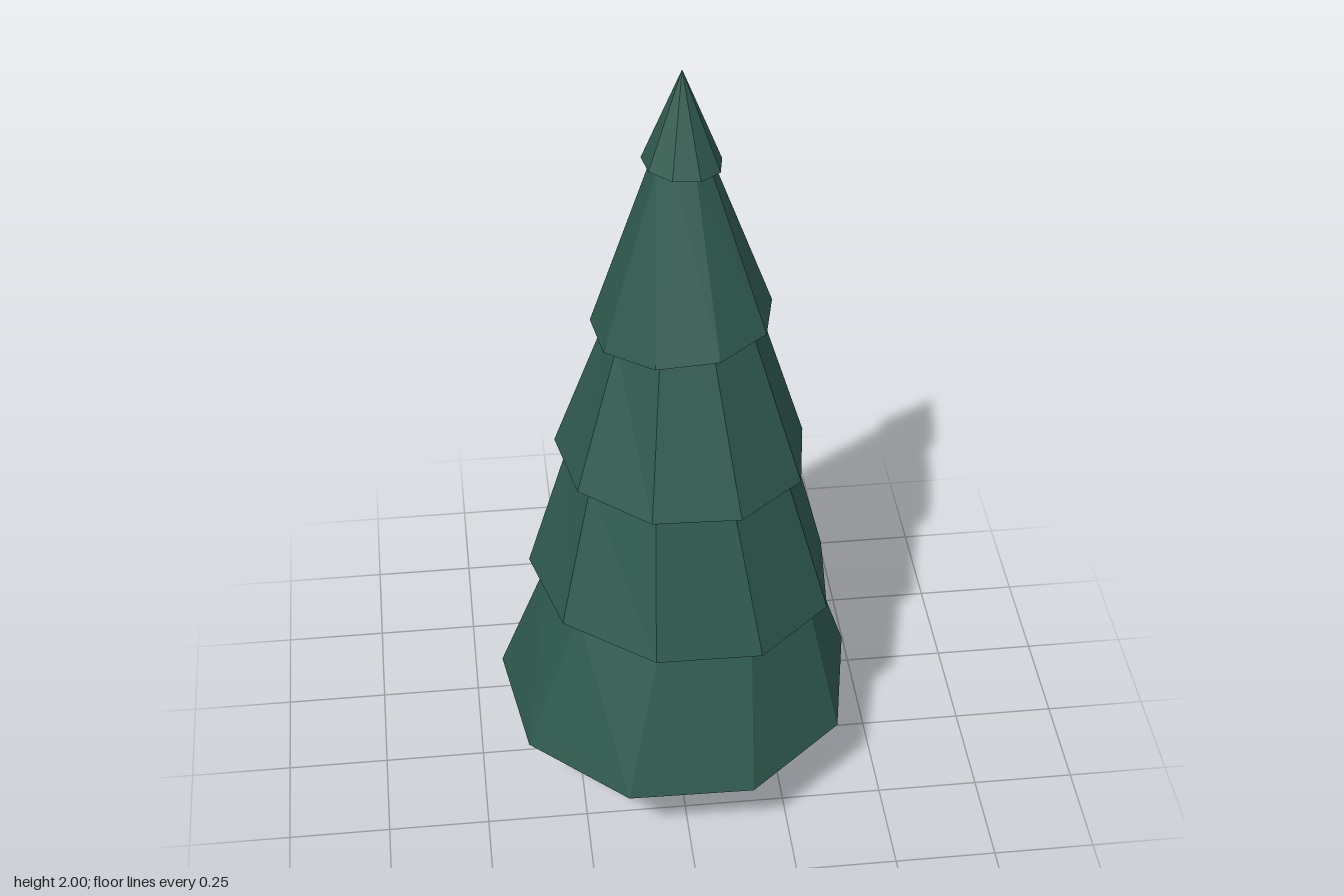
import * as THREE from 'three';

const SIDES = 9;

// One tilted nine-sided ring; turn is in degrees from the back, tilt is height change per unit x and z
function ring({ r, y, cx = 0.018, cz = 0.003, turn = 0, tx = 0, tz = 0 }) {
  return Array.from({ length: SIDES }, (_, i) => {
    const a = ((i * 360) / SIDES + turn) * Math.PI / 180;
    const x = cx + r * Math.sin(a), z = cz - r * Math.cos(a);
    return [x, y + tx * x + tz * z, z];
  });
}

// Faceted skin through a list of rings, first to last
function loft(specs) {
  const pos = [];
  for (let k = 0; k < specs.length - 1; k++) {
    const a = ring(specs[k]), b = ring(specs[k + 1]);
    for (let i = 0; i < SIDES; i++) {
      const j = (i + 1) % SIDES;
      if (specs[k + 1].r > 0) pos.push(...a[i], ...b[i], ...b[j]);
      if (specs[k].r > 0) pos.push(...a[i], ...b[j], ...a[j]);
    }
  }
  const g = new THREE.BufferGeometry();
  g.setAttribute('position', new THREE.Float32BufferAttribute(pos, 3));
  g.computeVertexNormals();
  return g;
}

export function createModel() {
  const tree = new THREE.Group();
  tree.name = 'firTree';
  const green = new THREE.MeshStandardMaterial({ color: 0x2f5a4e, flatShading: true });
  const brown = new THREE.MeshStandardMaterial({ color: 0x4f3220, flatShading: true });

  // Lower rim of each tier; neck is the narrow ring of the tier below it
  const rims = [
    { r: 0.447, y: 0.248, cx: 0.003, cz: 0.005, turn: 1, tz: -0.073 },
    { r: 0.378, y: 0.591, turn: -4.4, tx: -0.08, tz: 0.02, neck: 0.33 },
    { r: 0.307, y: 0.965, turn: -0.7, tx: -0.04, neck: 0.27 },
    { r: 0.216, y: 1.34, turn: 2.7, tx: 0.09, tz: 0.04, neck: 0.18 },
    { r: 0.093, y: 1.767, turn: 0, tx: -0.08, neck: 0.07 },
  ];

  // Foliage: small collar underneath, then stepped tiers up to the tip
  const collar = { r: 0.23, y: 0.21, cx: 0.02, cz: 0, tz: -0.13 };
  const specs = [
    { ...collar, r: 0 },
    collar,
    { ...rims[0], r: 0.22, cx: 0.02, cz: 0, turn: 0 },
  ];
  for (const rim of rims) {
    if (rim.neck) specs.push({ ...rim, r: rim.neck });
    specs.push(rim);
  }
  specs.push({ r: 0, y: 2, cx: 0.017, cz: 0.006 });
  const foliage = new THREE.Mesh(loft(specs), green);
  foliage.name = 'foliage';
  tree.add(foliage);

  // Trunk: turned square post, leaning slightly
  const post = new THREE.BoxGeometry(0.083, 0.26, 0.097);
  post.rotateY(0.26);
  post.translate(0, 0.133, 0);
  const p = post.attributes.position;
  for (let i = 0; i < p.count; i++) {
    const t = p.getY(i) / 0.26;
    p.setX(i, p.getX(i) - 0.003 + 0.003 * t);
    p.setZ(i, p.getZ(i) - 0.023 + 0.014 * t);
  }
  post.computeVertexNormals();
  const trunk = new THREE.Mesh(post, brown);
  trunk.name = 'trunk';
  tree.add(trunk);

  return tree;
}
